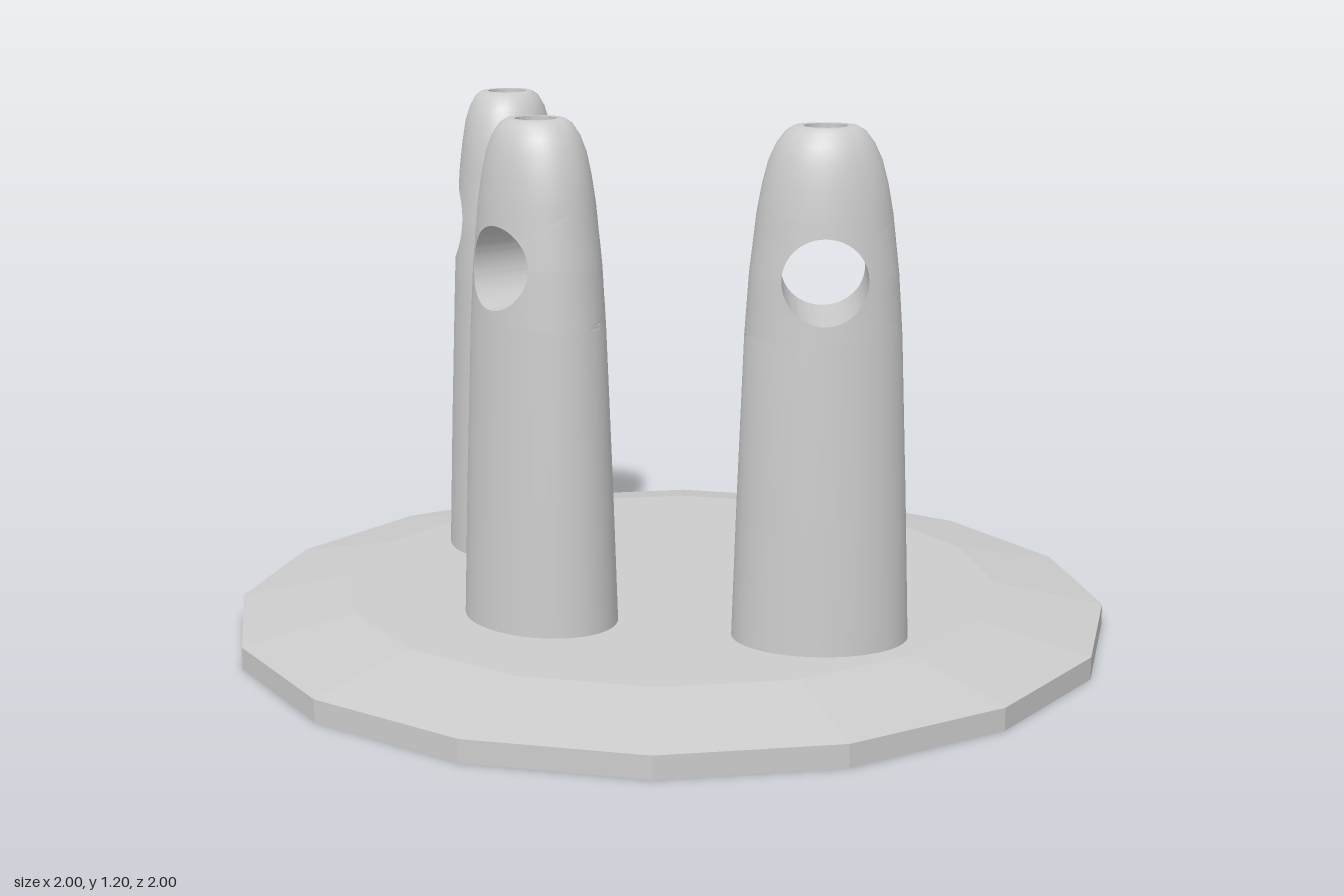
import * as THREE from 'three';
import { mergeGeometries, toCreasedNormals } from 'three/addons/utils/BufferGeometryUtils.js';

const V = (x, y, z) => new THREE.Vector3(x, y, z);
const N = 12;                                  // segments per quarter turn
const HOLE_Y = 0.89, HOLE_R = 0.09, SHAFT_R = 0.045;
const LOW = 0.76, HIGH = 1.02;                 // band that holds the cross hole

// Post profile: height, half width (x), half depth (z)
const PROFILE = [
  [0.1, 0.152, 0.19], [0.4, 0.143, 0.18], [LOW, 0.13, 0.166], [HOLE_Y, 0.124, 0.157],
  [HIGH, 0.114, 0.142], [1.08, 0.107, 0.131], [1.13, 0.099, 0.118],
  [1.165, 0.088, 0.102], [1.19, 0.074, 0.083], [1.2, 0.06, 0.066],
];

function radii(y) {
  let k = 1;
  while (k < PROFILE.length - 1 && PROFILE[k][0] < y) k++;
  const [p, q] = [PROFILE[k - 1], PROFILE[k]];
  const t = (y - p[0]) / (q[0] - p[0]);
  return [p[1] + (q[1] - p[1]) * t, p[2] + (q[2] - p[2]) * t];
}

// Point of the elliptical outer skin
function skin(phi, y) {
  const [a, b] = radii(y);
  return V(a * Math.cos(phi), y, -b * Math.sin(phi));
}

// Surface through rows of points
function loft(rows) {
  const n = rows[0].length, index = [];
  for (let j = 0; j < rows.length - 1; j++) {
    for (let i = 0; i < n - 1; i++) {
      const a = j * n + i, b = a + 1, c = a + n, d = c + 1;
      index.push(a, b, d, a, d, c);
    }
  }
  const g = new THREE.BufferGeometry().setFromPoints(rows.flat());
  g.setIndex(index);
  return g.toNonIndexed();
}

// Rows blending from an outer 2D loop to an inner one, mapped to space
function blend(outer, inner, steps, map) {
  const rows = [];
  for (let j = 0; j <= steps; j++) {
    const s = j / steps;
    rows.push(outer.map(([u, v], i) => map(u + (inner[i][0] - u) * s, v + (inner[i][1] - v) * s)));
  }
  return rows;
}

function postGeometry() {
  const parts = [];
  const turn = Array.from({ length: 4 * N + 1 }, (_, i) => -Math.PI / 2 + (i / (4 * N)) * Math.PI * 2);
  const ring = (y) => turn.map((p) => skin(p, y));
  const heights = PROFILE.map((p) => p[0]);

  // Lower skin, then upper skin with flat rim and vertical shaft
  parts.push(loft(heights.filter((y) => y <= LOW).map(ring)));
  const circle = (height) => turn.map((p) => {
    const z = -SHAFT_R * Math.sin(p);
    return V(SHAFT_R * Math.cos(p), height(z), z);
  });
  const ceiling = (z) => HOLE_Y + Math.sqrt(HOLE_R * HOLE_R - z * z);
  parts.push(loft([...heights.filter((y) => y >= HIGH).map(ring), circle(() => 1.2), circle(ceiling)]));

  // Band around the cross hole, one half per side
  const H = Math.PI / 2, outer = [];
  const corners = [[-H, LOW], [H, LOW], [H, HIGH], [-H, HIGH], [-H, LOW]];
  for (let k = 0; k < 4; k++) {
    const [p, q] = [corners[k], corners[k + 1]];
    const n = 2 * N;
    for (let i = 0; i < n; i++) {
      outer.push([p[0] + (q[0] - p[0]) * i / n, p[1] + (q[1] - p[1]) * i / n]);
    }
  }
  outer.push(corners[4]);
  const inner = outer.map(([u, v]) => {
    const t = Math.atan2((v - HOLE_Y) / (HIGH - HOLE_Y), u / H);
    const y = HOLE_Y + HOLE_R * Math.sin(t);
    return [Math.asin(HOLE_R * Math.cos(t) / radii(y)[1]), y];
  });
  const band = loft(blend(outer, inner, 8, skin));
  parts.push(band, band.clone().rotateY(Math.PI));

  // Cross hole walls, leaving out the ceiling
  const edge = inner.map(([u, v]) => skin(u, v));
  const flip = (p) => V(-p.x, p.y, p.z);
  for (const run of [edge.slice(0, 4 * N + 1), edge.slice(6 * N)]) {
    parts.push(loft([run, run.map(flip)]));
  }

  // Ceiling pierced by the shaft, laid out in (z, x)
  const top = edge.slice(4 * N, 6 * N + 1).map((p) => [p.z, p.x]);
  const [zEnd, xEnd] = top[top.length - 1];
  const side = Array.from({ length: N - 1 }, (_, i) => [zEnd, xEnd * (1 - 2 * (i + 1) / N)]);
  const half = [...top, ...side];
  const loop = [...half, ...half.map(([z, x]) => [-z, -x]), top[0]];
  const mouth = loop.map(([z, x]) => {
    const t = Math.atan2(z, x);
    return [SHAFT_R * Math.sin(t), SHAFT_R * Math.cos(t)];
  });
  parts.push(loft(blend(loop, mouth, 4, (z, x) => V(x, ceiling(z), z))));

  return toCreasedNormals(mergeGeometries(parts), 0.6);
}

export function createModel() {
  const group = new THREE.Group();

  // Sixteen-sided base plate with a sloping rim
  const outline = [[0, 0], [1, 0], [1, 0.05], [0.75, 0.1], [0, 0.1]].map(([x, y]) => new THREE.Vector2(x, y));
  const base = new THREE.Mesh(
    new THREE.LatheGeometry(outline, 16),
    new THREE.MeshStandardMaterial({ color: 0xcccccc, flatShading: true }),
  );
  base.name = 'basePlate';
  group.add(base);

  // Three drilled posts
  const geometry = postGeometry();
  const material = new THREE.MeshStandardMaterial({ color: 0xcccccc });
  const posts = [['rightPost', -0.39, 0, 0], ['frontPost', -0.045, 0.52, Math.PI / 4], ['backPost', -0.045, -0.52, -Math.PI / 4]];
  for (const [name, x, z, angle] of posts) {
    const post = new THREE.Mesh(geometry, material);
    post.name = name;
    post.position.set(x, 0, z);
    post.rotation.y = angle;
    group.add(post);
  }
  return group;
}
